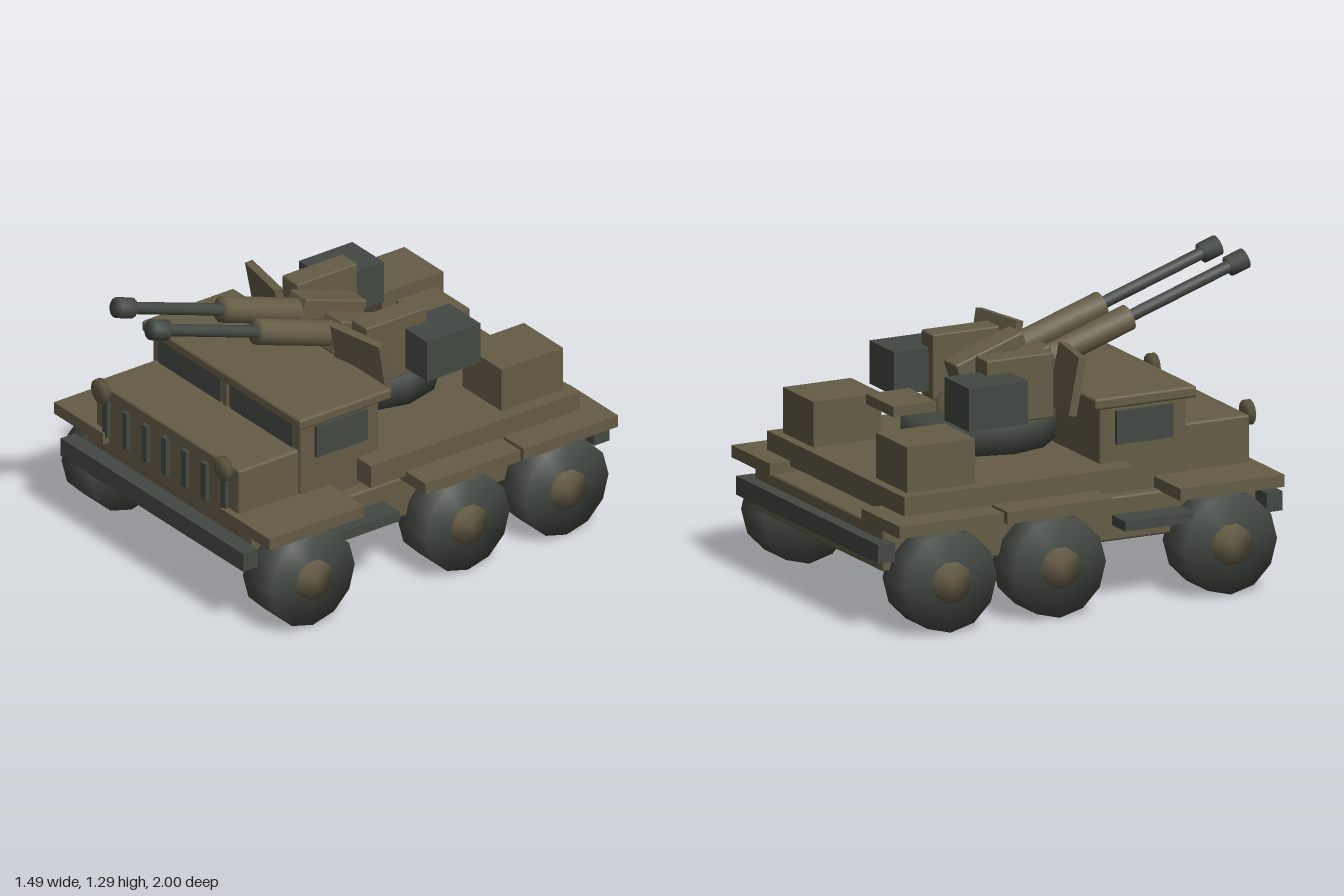
import * as THREE from 'three';
import { mergeVertices } from 'three/addons/utils/BufferGeometryUtils.js';
import { RoundedBoxGeometry } from 'three/addons/geometries/RoundedBoxGeometry.js';

const olive = new THREE.MeshStandardMaterial({ color: 0x655c45 });
olive.name = 'olive paint';
const grey = new THREE.MeshStandardMaterial({ color: 0x434843 });
grey.name = 'dark grey';

function add(parent, name, geometry, material) {
  const mesh = new THREE.Mesh(geometry, material);
  mesh.name = name;
  parent.add(mesh);
  return mesh;
}

// Box given by its limits on each axis; bevel > 0 softens the edges
function box(parent, name, material, [x0, x1], [y0, y1], [z0, z1], bevel = 0) {
  const size = [x1 - x0, y1 - y0, z1 - z0];
  const geometry = bevel
    ? new RoundedBoxGeometry(...size, 2, bevel)
    : new THREE.BoxGeometry(...size);
  const mesh = add(parent, name, geometry, material);
  mesh.position.set((x0 + x1) / 2, (y0 + y1) / 2, (z0 + z1) / 2);
  return mesh;
}

// Cylinder whose normals run smoothly over rim and caps
function softCylinder(radius, length, sides) {
  const geometry = new THREE.CylinderGeometry(radius, radius, length, sides);
  geometry.deleteAttribute('normal');
  geometry.deleteAttribute('uv');
  const merged = mergeVertices(geometry, 1e-4);
  merged.computeVertexNormals();
  return merged;
}

// Limits on x, mirrored for the other side
const span = (s, a, b) => (s > 0 ? [a, b] : [-b, -a]);

function buildWheels(parent) {
  for (const z of [0.6, -0.2, -0.71]) {
    const axle = add(parent, 'axle', softCylinder(0.04, 1.2, 12).rotateZ(Math.PI / 2), grey);
    axle.position.set(0, 0.216, z);
    for (const s of [-1, 1]) {
      const wheel = new THREE.Group();
      wheel.name = 'wheel';
      wheel.position.set(s * 0.626, 0.216, z);
      parent.add(wheel);
      add(wheel, 'tyre', softCylinder(0.216, 0.195, 12).rotateZ(Math.PI / 2), grey);
      add(wheel, 'hub', softCylinder(0.088, 0.238, 10).rotateZ(Math.PI / 2), olive);
    }
  }
}

function buildBody(parent) {
  box(parent, 'chassis', olive, [-0.57, 0.57], [0.25, 0.44], [-0.945, 0.8], 0.012);
  box(parent, 'rearDeck', olive, [-0.608, 0.608], [0.467, 0.57], [-0.865, 0.215]);
  box(parent, 'hood', olive, [-0.495, 0.495], [0.39, 0.69], [0.45, 0.81], 0.012);
  box(parent, 'cab', olive, [-0.512, 0.512], [0.43, 0.83], [0.1, 0.505], 0.012);
  box(parent, 'roof', olive, [-0.548, 0.548], [0.81, 0.86], [0.06, 0.535], 0.012);
  box(parent, 'frontBumper', grey, [-0.63, 0.63], [0.302, 0.385], [0.815, 0.89]);
  box(parent, 'rearBumper', grey, [-0.63, 0.63], [0.308, 0.388], [-1, -0.922]);
  box(parent, 'windscreenPost', olive, [-0.012, 0.012], [0.68, 0.81], [0.5, 0.514]);

  // Grille slots
  for (let i = -3; i <= 3; i++) {
    const x = i * 0.136;
    box(parent, 'grilleSlot', grey, [x - 0.017, x + 0.017], [0.468, 0.638], [0.8, 0.83]);
  }

  for (const s of [-1, 1]) {
    box(parent, 'windscreen', grey, span(s, 0.035, 0.462), [0.675, 0.8], [0.504, 0.511]);
    box(parent, 'sideWindow', grey, span(s, 0.5, 0.53), [0.648, 0.79], [0.17, 0.435]);
    box(parent, 'step', grey, span(s, 0.54, 0.69), [0.32, 0.363], [0.125, 0.45]);
    box(parent, 'storageBox', olive, span(s, 0.277, 0.548), [0.565, 0.765], [-0.823, -0.505]);

    // Fenders over the three wheels
    for (const z of [[0.352, 0.84], [-0.455, 0.035], [-0.96, -0.472]]) {
      box(parent, 'fender', olive, span(s, 0.405, 0.745), [0.436, 0.488], z);
    }

    const lamp = add(parent, 'headlamp', softCylinder(0.054, 0.025, 12).rotateX(Math.PI / 2), olive);
    lamp.position.set(s * 0.422, 0.68, 0.837);
  }
}

function buildGun(parent, x) {
  const gun = new THREE.Group();
  gun.name = 'gun';
  gun.position.set(x, 0.916, 0);
  gun.rotation.x = -0.327;
  parent.add(gun);
  box(gun, 'receiver', olive, [-0.06, 0.06], [-0.075, 0.075], [-0.262, 0.07], 0.01);
  // Each tube: name, material, radius, start and end along the gun
  for (const [name, material, r, a, b] of [
    ['sleeve', olive, 0.056, 0.04, 0.465],
    ['barrel', grey, 0.026, 0.44, 0.98],
    ['muzzle', grey, 0.044, 0.957, 1.04],
  ]) {
    const tube = add(gun, name, softCylinder(r, b - a, 12).rotateX(Math.PI / 2), material);
    tube.position.z = (a + b) / 2;
  }
}

function buildTurret(parent) {
  const turret = new THREE.Group();
  turret.name = 'turret';
  parent.add(turret);

  const ring = add(turret, 'turretRing', softCylinder(0.32, 0.125, 12), grey);
  ring.position.set(0, 0.667, -0.2);
  const dome = add(turret, 'turretDome',
    new THREE.SphereGeometry(0.2, 12, 8, 0, Math.PI * 2, 0, Math.PI / 2), olive);
  dome.position.set(0, 0.7, -0.2);
  dome.scale.y = 0.75;
  box(turret, 'seat', olive, [-0.12, 0.12], [0.773, 0.817], [-0.66, -0.46]);

  for (const s of [-1, 1]) {
    box(turret, 'cradleArm', olive, span(s, 0.185, 0.293), [0.73, 1.01], [-0.312, 0], 0.008);
    box(turret, 'ammoBox', grey, span(s, 0.225, 0.442), [0.762, 0.947], [-0.475, -0.2]);
    buildGun(turret, s * 0.12);

    // Shield plate, leaning forward and swept back
    const shield = add(turret, 'shield', new THREE.BoxGeometry(0.275, 0.25, 0.035), olive);
    shield.position.set(s * 0.32, 0.895, 0.05);
    shield.rotation.set(0.18, s * 0.18, 0, 'YXZ');
  }
}

export function createModel() {
  const model = new THREE.Group();
  model.name = 'armoredTruck';
  buildWheels(model);
  buildBody(model);
  buildTurret(model);
  return model;
}
